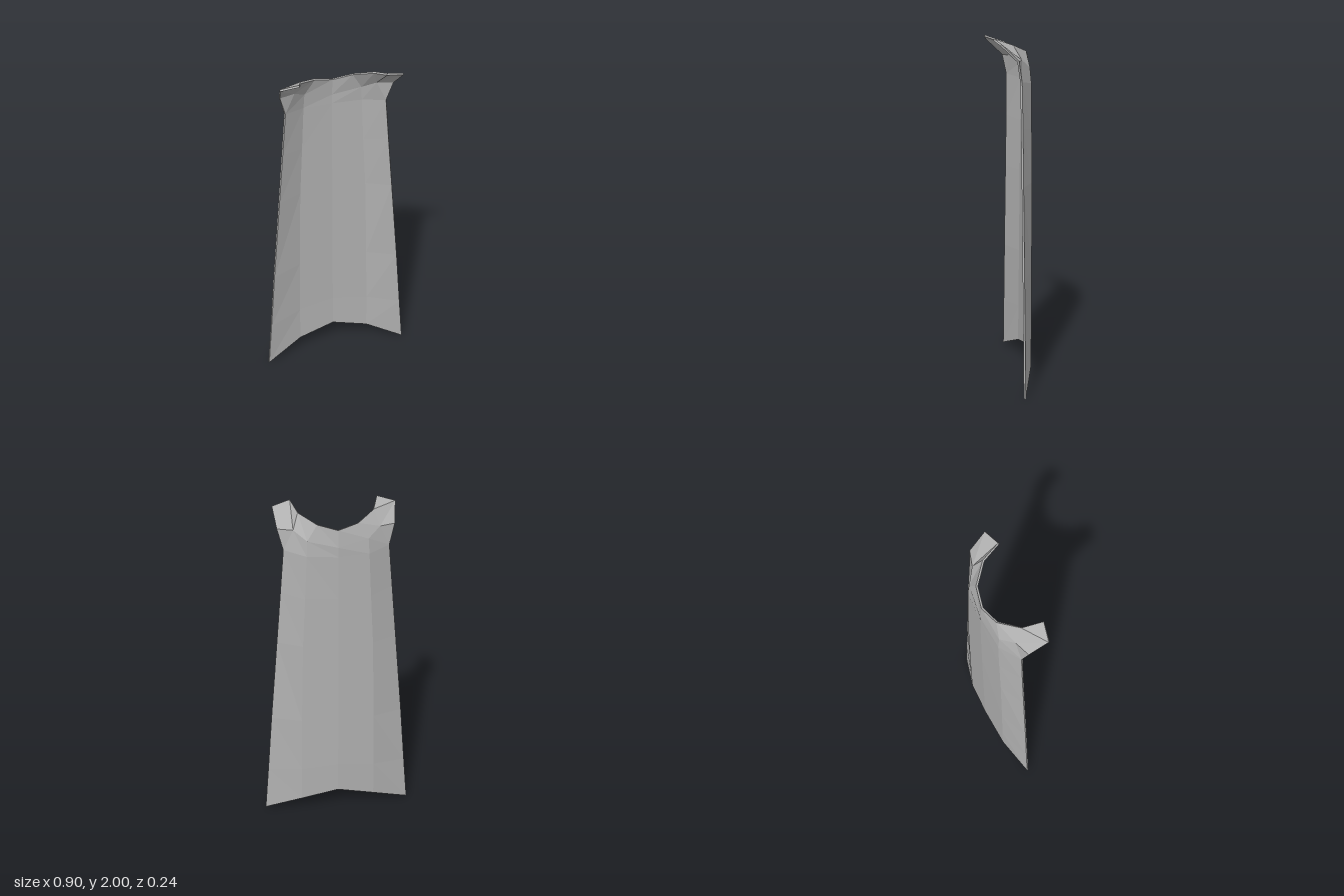
import * as THREE from 'three';

const THICK = 0.011;
const cloth = new THREE.MeshStandardMaterial({ color: 0xb0b0b0 });
cloth.name = 'grey cloth';
cloth.flatShading = true;

// Left half of the outer surface: rows of centre, fold and edge points, bottom to top
const rows = [
  [[0, 0.16, -0.115], [0.225, 0.10, -0.10], [0.452, 0, -0.035]],
  [[0, 0.36, -0.117], [0.222, 0.33, -0.102], [0.425, 0.30, -0.035]],
  [[0, 0.70, -0.118], [0.215, 0.69, -0.103], [0.392, 0.68, -0.035]],
  [[0, 1.20, -0.119], [0.20, 1.20, -0.104], [0.343, 1.20, -0.035]],
  [[0, 1.50, -0.119], [0.183, 1.50, -0.104], [0.313, 1.52, -0.035]],
  [[0, 1.75, -0.118], [0.17, 1.755, -0.103], [0.29, 1.77, -0.033]],
];
// Collar points, continuing the numbering of the rows
const collar = [
  [0, 1.805, -0.118], [0.165, 1.84, -0.095], [0.235, 1.885, -0.04], [0.32, 1.885, -0.012],
  [0, 1.90, -0.108], [0.11, 1.927, -0.082], [0.205, 1.965, 0.005],
  [0.238, 2.0, 0.11], [0.337, 1.977, 0.085],
];

function halfFaces() {
  const faces = [];
  for (let r = 0; r < rows.length - 1; r++) {
    for (let c = 0; c < 2; c++) {
      const a = r * 3 + c;
      faces.push([a, a + 3, a + 4, a + 1]);
    }
  }
  const b = (rows.length - 1) * 3, k = rows.length * 3;
  faces.push(
    [b, k, k + 1, b + 1],                  // nape
    [k + 2, b + 2, b + 1, k + 1],          // shoulder
    [k + 2, k + 3, b + 2],                 // shoulder edge
    [k, k + 4, k + 5, k + 1],              // back of the neck
    [k + 1, k + 5, k + 6, k + 2],          // side of the neck
    [k + 2, k + 6, k + 7, k + 8],          // shoulder flap
    [k + 2, k + 8, k + 3],
  );
  return faces;
}

function capeGeometry() {
  const half = [...rows.flat(), ...collar];
  const points = half.map((p) => new THREE.Vector3(...p));

  // Mirror the half, sharing the centre points
  const mirror = half.map(([x, y, z], i) =>
    x === 0 ? i : points.push(new THREE.Vector3(-x, y, z)) - 1);
  const faces = halfFaces();
  faces.push(...faces.map((f) => f.map((i) => mirror[i]).reverse()));

  // Triangles of the outer surface
  const tris = faces.flatMap((f) => f.slice(2).map((_, i) => [f[0], f[i + 1], f[i + 2]]));

  // Inner surface: every point pushed in along its averaged normal
  const normals = points.map(() => new THREE.Vector3());
  for (const t of tris) {
    const [a, b, c] = t.map((i) => points[i]);
    const n = b.clone().sub(a).cross(c.clone().sub(a));
    t.forEach((i) => normals[i].add(n));
  }
  const inner = points.map((p, i) => p.clone().addScaledVector(normals[i].normalize(), -THICK));
  const pos = [];
  const add = (...v) => v.forEach((p) => pos.push(p.x, p.y, p.z));
  const edges = new Set();
  for (const [a, b, c] of tris) {
    add(points[a], points[b], points[c]);
    add(inner[c], inner[b], inner[a]);
    [[a, b], [b, c], [c, a]].forEach((e) => edges.add(e.join()));
  }

  // Rim along the open edges
  for (const e of edges) {
    const [a, b] = e.split(',').map(Number);
    if (edges.has(`${b},${a}`)) continue;
    add(points[b], points[a], inner[a], points[b], inner[a], inner[b]);
  }

  const geo = new THREE.BufferGeometry();
  geo.setAttribute('position', new THREE.Float32BufferAttribute(pos, 3));
  geo.computeVertexNormals();
  // Stand the hem on the ground
  geo.computeBoundingBox();
  geo.translate(0, -geo.boundingBox.min.y, 0);
  return geo;
}

export function createModel() {
  const group = new THREE.Group();
  group.name = 'cape';
  const cape = new THREE.Mesh(capeGeometry(), cloth);
  cape.name = 'capeCloth';
  group.add(cape);
  return group;
}
